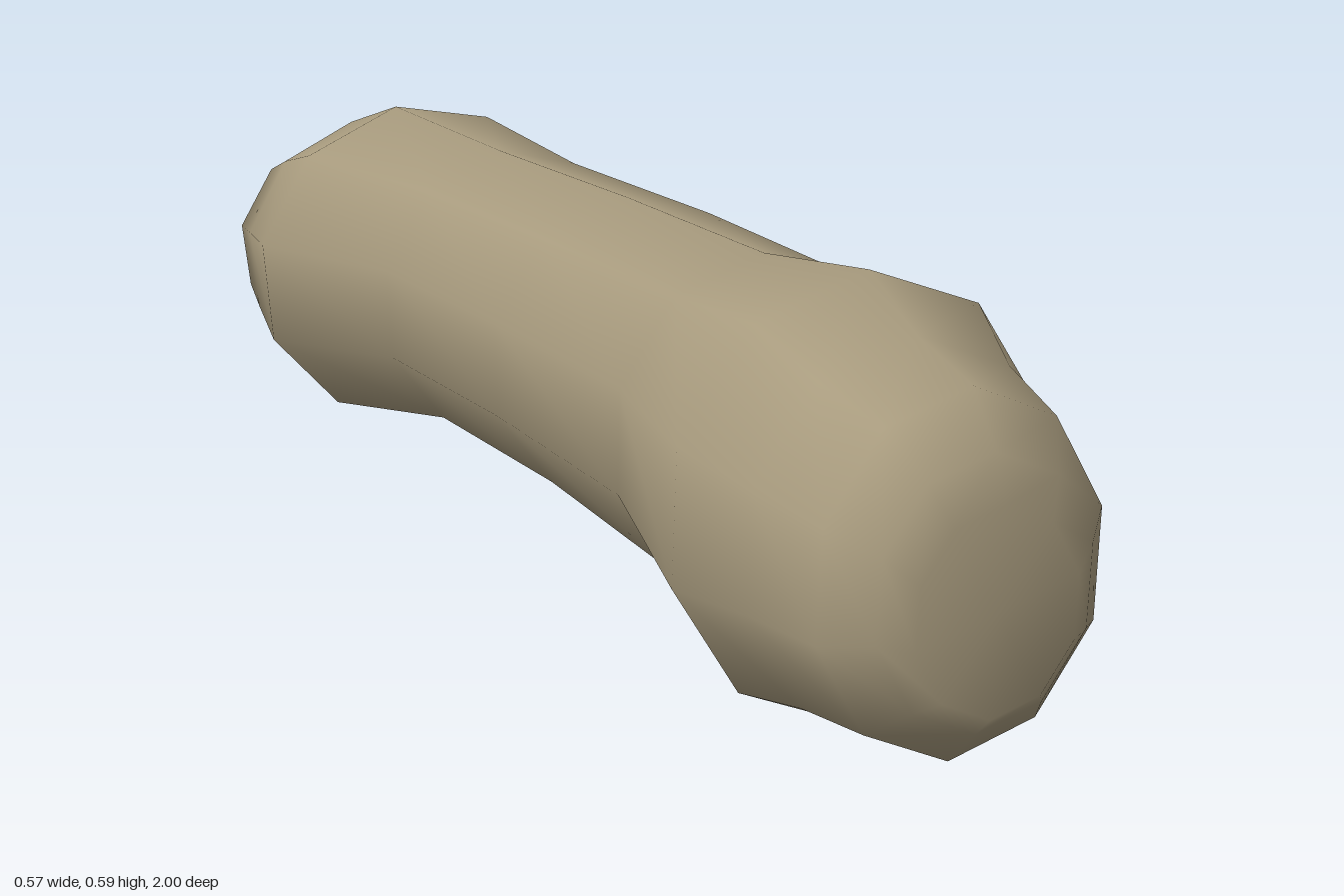
import * as THREE from 'three';

const SIDES = 10;

// Cross-sections along the shaft: z, left x, right x, bottom y, top y
const RINGS = [
  [1.0, -0.13, 0.1, 0.1, 0.37],
  [0.975, -0.17, 0.135, 0.075, 0.43],
  [0.925, -0.225, 0.18, 0.025, 0.5],
  [0.8, -0.25, 0.2, 0.02, 0.533],
  [0.68, -0.288, 0.245, 0.0, 0.588],
  [0.4, -0.215, 0.205, 0.088, 0.545],
  [0.0, -0.192, 0.224, 0.105, 0.531],
  [-0.4, -0.165, 0.222, 0.095, 0.513],
  [-0.75, -0.205, 0.287, 0.03, 0.508],
  [-0.9, -0.16, 0.228, 0.07, 0.455],
  [-1.0, -0.13, 0.205, 0.105, 0.41],
];

// Ten-sided section, twisted slightly toward the back, fitted to its extents
function ringPoints([z, x0, x1, y0, y1]) {
  const phase = THREE.MathUtils.degToRad(14 + (1 - z) * 5.5);
  const pts = [];
  for (let k = 0; k < SIDES; k++) {
    const a = phase + (k / SIDES) * Math.PI * 2;
    pts.push(new THREE.Vector2(Math.cos(a), Math.sin(a)));
  }
  const box = new THREE.Box2().setFromPoints(pts);
  return pts.map((p) => [
    THREE.MathUtils.mapLinear(p.x, box.min.x, box.max.x, x0, x1),
    THREE.MathUtils.mapLinear(p.y, box.min.y, box.max.y, y0, y1),
    z,
  ]);
}

function loftGeometry() {
  const positions = [];
  const index = [];
  RINGS.forEach((ring) => ringPoints(ring).forEach((p) => positions.push(...p)));

  // Side walls
  for (let i = 0; i < RINGS.length - 1; i++) {
    for (let k = 0; k < SIDES; k++) {
      const n = (k + 1) % SIDES;
      const a = i * SIDES + k, b = i * SIDES + n;
      const c = a + SIDES, d = b + SIDES;
      index.push(a, c, b, b, c, d);
    }
  }

  // End caps
  const last = RINGS.length - 1;
  [0, last].forEach((i) => {
    const [z, x0, x1, y0, y1] = RINGS[i];
    const centre = positions.length / 3;
    positions.push((x0 + x1) / 2, (y0 + y1) / 2, z);
    for (let k = 0; k < SIDES; k++) {
      const a = i * SIDES + k, b = i * SIDES + ((k + 1) % SIDES);
      if (i === 0) index.push(centre, a, b);
      else index.push(centre, b, a);
    }
  });

  const geometry = new THREE.BufferGeometry();
  geometry.setAttribute('position', new THREE.Float32BufferAttribute(positions, 3));
  geometry.setIndex(index);
  geometry.computeVertexNormals();
  return geometry;
}

export function createModel() {
  const group = new THREE.Group();
  group.name = 'bone';
  const tan = new THREE.MeshStandardMaterial({ color: 0xa89b7e });
  tan.name = 'dull tan';
  const shaft = new THREE.Mesh(loftGeometry(), tan);
  shaft.name = 'boneShaft';
  group.add(shaft);
  return group;
}
